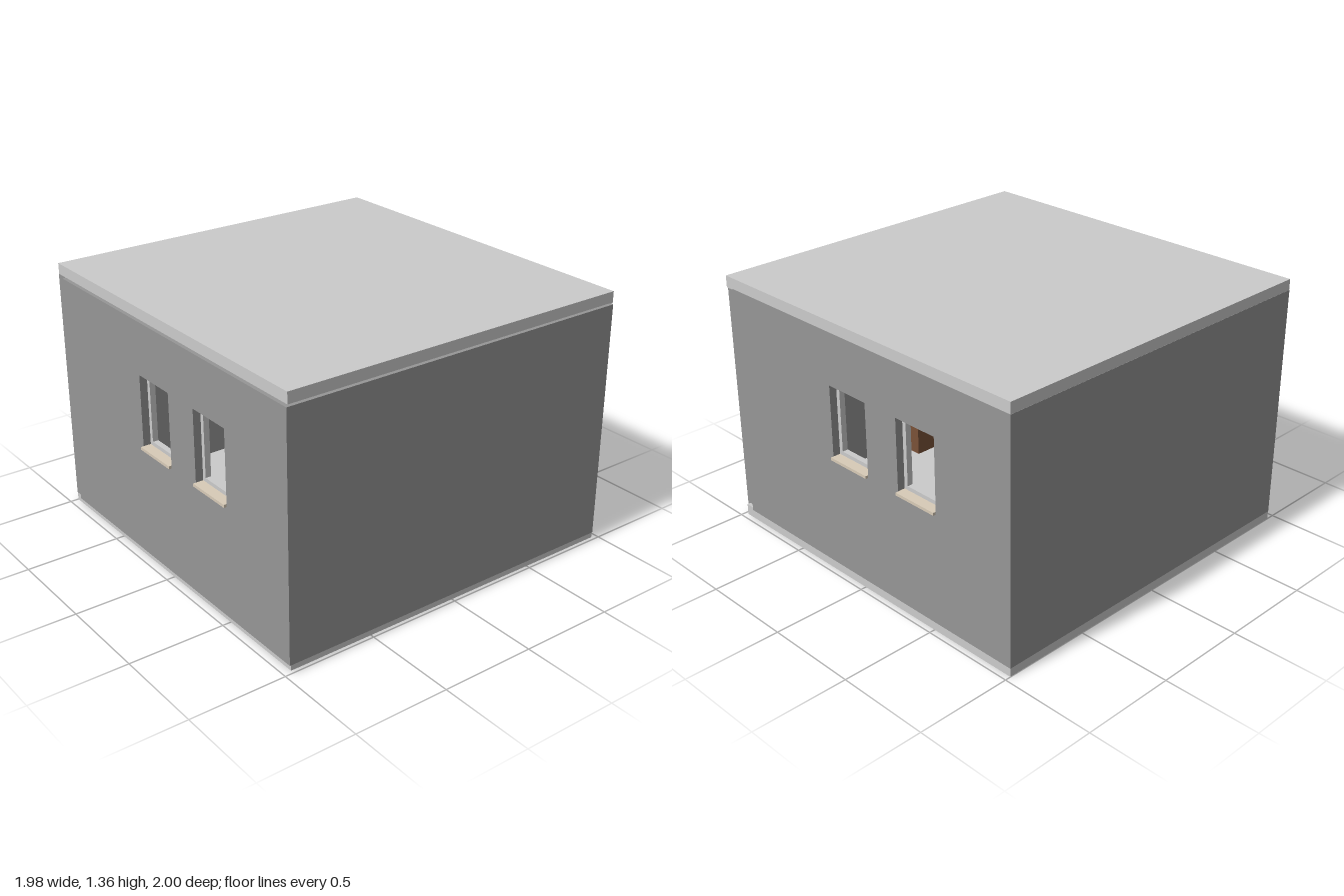
import * as THREE from 'three';

const mat = (color) => new THREE.MeshStandardMaterial({ color });
const grey = mat(0xcccccc), wallGrey = mat(0x969696), sillTone = mat(0xd8cbb8), wood = mat(0x7a5238);

// Box given by its min and max along each axis
function box(parent, name, [x0, x1], [y0, y1], [z0, z1], material) {
  const mesh = new THREE.Mesh(new THREE.BoxGeometry(x1 - x0, y1 - y0, z1 - z0), material);
  mesh.position.set((x0 + x1) / 2, (y0 + y1) / 2, (z0 + z1) / 2);
  mesh.name = name;
  parent.add(mesh);
  return mesh;
}

const rect = (Type, u0, u1, v0, v1) => new Type([[u0, v0], [u1, v0], [u1, v1], [u0, v1]].map(([u, v]) => new THREE.Vector2(u, v)));

// Panel in the z-y plane with rectangular holes, extending inwards from x
function panel(parent, name, bounds, holes, x, depth, material) {
  const shape = rect(THREE.Shape, ...bounds);
  holes.forEach((h) => shape.holes.push(rect(THREE.Path, ...h)));
  const geometry = new THREE.ExtrudeGeometry(shape, { depth, bevelEnabled: false });
  geometry.rotateY(-Math.PI / 2);
  const mesh = new THREE.Mesh(geometry, material);
  mesh.position.x = x;
  mesh.name = name;
  parent.add(mesh);
}

const wallY = [0.045, 1.3];

// Side wall with two recessed window frames and projecting sills, facing +x
function sideWall(name, x, z0, z1) {
  const side = new THREE.Group();
  side.name = name;
  const windows = [[-0.062, 0.195], [-0.53, -0.275]];
  panel(side, name + 'Panel', [z0, z1, ...wallY], windows.map(([a, b]) => [a, b, 0.64, 1.025]), x, 0.072, wallGrey);
  for (const [a, b] of windows) {
    panel(side, 'windowFrame', [a, b, 0.64, 1.025], [[a + 0.022, b - 0.022, 0.67, 1.0]], x - 0.04, 0.03, grey);
    box(side, 'windowSill', [x - 0.042, x + 0.015], [0.635, 0.65], [a, b], sillTone);
  }
  return side;
}

// Shelf unit with rows of coloured books, standing against the back wall
function bookshelf() {
  const shelf = new THREE.Group();
  shelf.name = 'bookshelf';
  const z = [-0.925, -0.8];
  for (const x of [0.2, 0.62]) box(shelf, 'shelfSide', [x, x + 0.02], [0.06, 0.72], z, wood);
  for (let i = 0; i < 4; i++) {
    const y = 0.07 + i * 0.21;
    box(shelf, 'shelfBoard', [0.22, 0.62], [y, y + 0.018], z, wood);
  }
  box(shelf, 'shelfBack', [0.22, 0.62], [0.06, 0.718], [-0.927, -0.915], wood);
  const covers = [0xd8862a, 0x7a5238, 0xa83a24, 0x34488c].map(mat);
  for (let row = 0; row < 3; row++) {
    for (let i = 0; i < 8; i++) {
      const x = 0.225 + i * 0.049, y = 0.088 + row * 0.21;
      const height = 0.13 + 0.02 * ((i * 3 + row) % 3);
      box(shelf, 'book', [x, x + 0.042], [y, y + height], [-0.915, -0.83], covers[(i + row * 2) % 4]);
    }
  }
  return shelf;
}

export function createModel() {
  const room = new THREE.Group();
  room.name = 'room';

  // Floor and roof slabs
  const slabX = [-0.955, 0.969], slabZ = [-0.999, 0.98];
  box(room, 'floorSlab', slabX, [0, 0.06], slabZ, grey);
  box(room, 'roofSlab', slabX, [1.295, 1.357], slabZ, grey);

  // Walls overlap in turn around the corners
  box(room, 'frontWall', [-0.975, 0.95], wallY, [0.93, 1], wallGrey);
  box(room, 'backWall', [-0.956, 0.898], wallY, [-1, -0.928], wallGrey);
  room.add(sideWall('leftWall', 0.97, -1, 0.93));
  const opposite = sideWall('rightWall', 0.975, -0.93, 0.925);
  opposite.rotation.y = Math.PI;
  room.add(opposite);

  // Furniture glimpsed through the windows
  room.add(bookshelf());
  box(room, 'wardrobe', [-0.52, -0.05], [0.06, 0.75], [0.76, 0.925], wood);
  return room;
}
